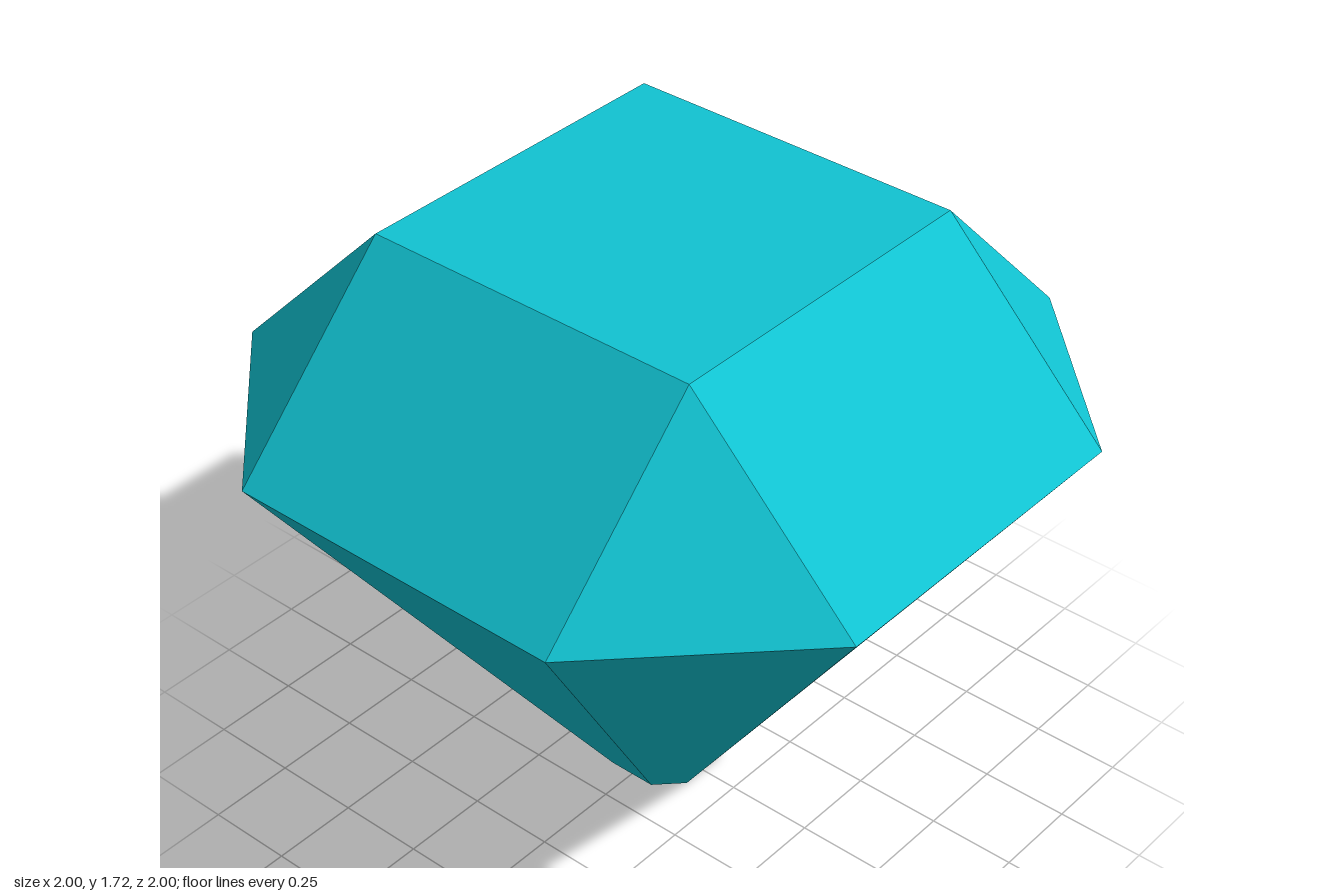
import * as THREE from 'three';
import { ConvexGeometry } from 'three/addons/geometries/ConvexGeometry.js';

const GIRDLE_Y = 1.22, TOP_Y = 1.72, TIP_SCALE = 0.14;

// Octagon with long sides on the axes and 45 degree cut corners
function octagon(scale, y) {
  const points = [];
  for (const sx of [-1, 1]) for (const sz of [-1, 1]) {
    points.push(new THREE.Vector3(sx * scale, y, sz * scale * 0.5));
    points.push(new THREE.Vector3(sx * scale * 0.5, y, sz * scale));
  }
  return points;
}

export function createModel() {
  const group = new THREE.Group();
  group.name = 'gemstone';
  const teal = new THREE.MeshStandardMaterial({ color: 0x11c3d2 });
  teal.name = 'teal';

  // Square table on top, wide girdle, small flat tip at the bottom
  const table = [];
  for (const sx of [-1, 1]) for (const sz of [-1, 1]) {
    table.push(new THREE.Vector3(sx * 0.5, TOP_Y, sz * 0.5));
  }
  const facets = new ConvexGeometry([
    ...table,
    ...octagon(1, GIRDLE_Y),
    ...octagon(TIP_SCALE, 0),
  ]);

  const gem = new THREE.Mesh(facets, teal);
  gem.name = 'facetedGem';
  group.add(gem);
  return group;
}
